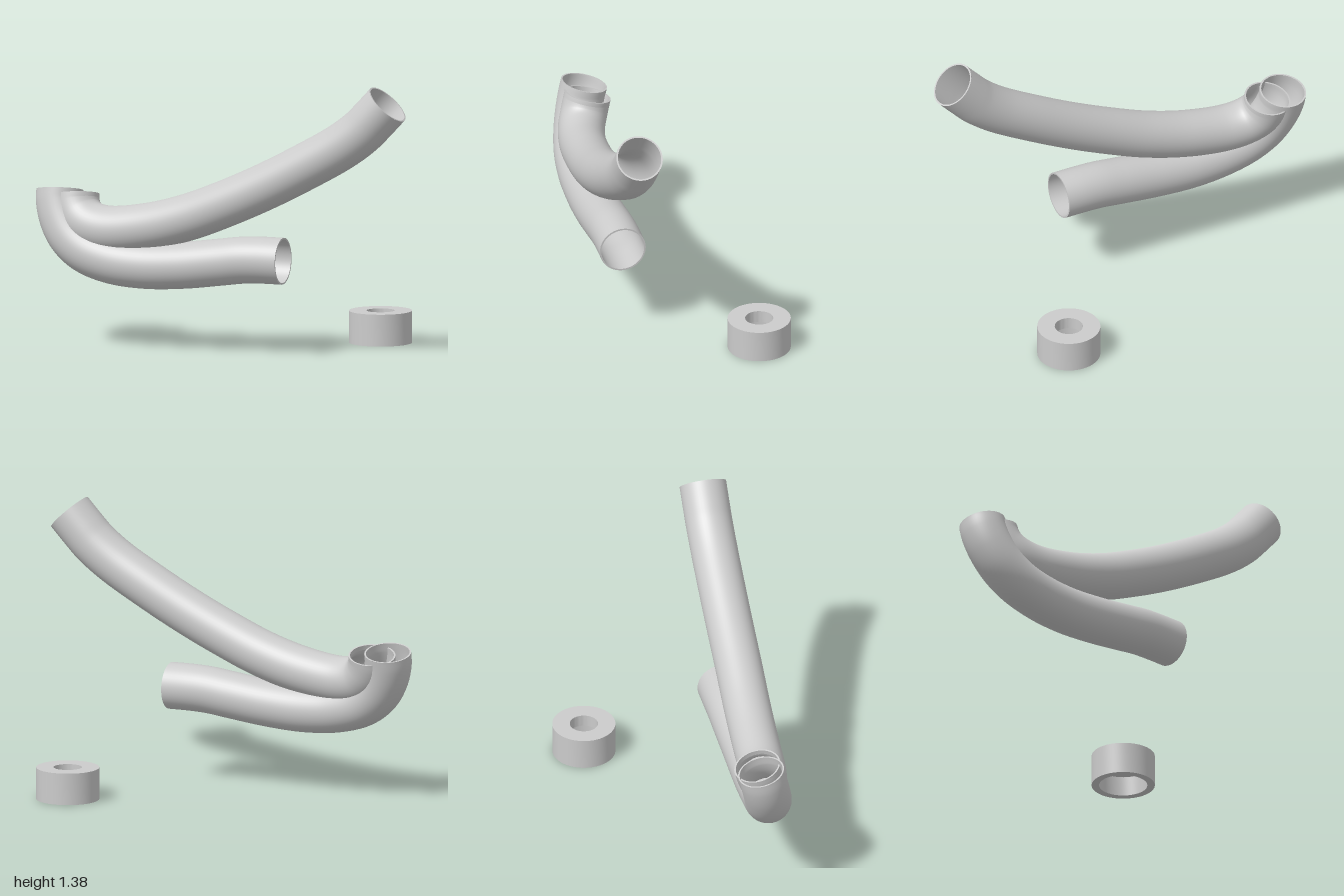
import * as THREE from 'three';
import { toCreasedNormals } from 'three/addons/utils/BufferGeometryUtils.js';

const OUTER = 0.117, INNER = 0.109, SIDES = 48, STEPS = 100;

// Hollow pipe swept along a smooth path, with annular end faces
function pipe(name, points, mat) {
  const group = new THREE.Group();
  group.name = name;
  const curve = new THREE.CatmullRomCurve3(points.map(p => new THREE.Vector3(...p)));
  const outer = new THREE.TubeGeometry(curve, STEPS, OUTER, SIDES);
  const inner = new THREE.TubeGeometry(curve, STEPS, INNER, SIDES);
  // turn the inner wall to face the bore
  inner.index.array.reverse();
  const n = inner.attributes.normal;
  for (let i = 0; i < n.count; i++) n.setXYZ(i, -n.getX(i), -n.getY(i), -n.getZ(i));
  const add = (geo, part) => {
    const mesh = new THREE.Mesh(geo, mat);
    mesh.name = part;
    group.add(mesh);
    return mesh;
  };
  add(outer, 'outerWall');
  add(inner, 'innerWall');
  for (const t of [0, 1]) {
    const rim = add(new THREE.RingGeometry(INNER, OUTER, SIDES), t ? 'endRim' : 'startRim');
    const dir = curve.getTangentAt(t).multiplyScalar(t ? 1 : -1);
    rim.position.copy(curve.getPointAt(t));
    rim.quaternion.setFromUnitVectors(new THREE.Vector3(0, 0, 1), dir);
  }
  return group;
}

export function createModel() {
  const model = new THREE.Group();
  model.name = 'pipesAndCollar';
  const mat = new THREE.MeshStandardMaterial({ color: 0xcccccc });

  // Lower pipe: drops from the mouth, sweeps round and levels out
  model.add(pipe('lowerPipe', [
    [-0.883, 0.765, 0.24], [-0.88, 0.71, 0.253], [-0.855, 0.63, 0.273], [-0.8, 0.545, 0.295],
    [-0.71, 0.478, 0.313], [-0.57, 0.435, 0.323], [-0.4, 0.42, 0.325], [-0.2, 0.43, 0.325],
    [0, 0.455, 0.32], [0.12, 0.471, 0.317], [0.22, 0.476, 0.315], [0.335, 0.476, 0.315],
  ], mat));

  // Upper pipe: tight bend at the mouth, then a long rising sweep
  model.add(pipe('upperPipe', [
    [-0.797, 0.745, 0.24], [-0.793, 0.71, 0.249], [-0.767, 0.655, 0.268], [-0.71, 0.611, 0.292],
    [-0.6, 0.59, 0.311], [-0.377, 0.617, 0.325], [-0.163, 0.675, 0.335], [0.046, 0.757, 0.344],
    [0.25, 0.85, 0.349], [0.455, 0.956, 0.353], [0.66, 1.073, 0.357], [0.77, 1.155, 0.358],
    [0.83, 1.215, 0.358], [0.908, 1.298, 0.358],
  ], mat));

  // Loose collar: narrow hole above, wider counterbore below
  const profile = [
    [0.12, 0], [0.157, 0], [0.157, 0.16], [0.07, 0.16], [0.07, 0.1], [0.12, 0.1], [0.12, 0],
  ].map(p => new THREE.Vector2(...p));
  const collar = new THREE.Mesh(toCreasedNormals(new THREE.LatheGeometry(profile, 64), 0.6), mat);
  collar.name = 'collar';
  collar.position.set(0.61, 0, -0.318);
  model.add(collar);

  return model;
}
